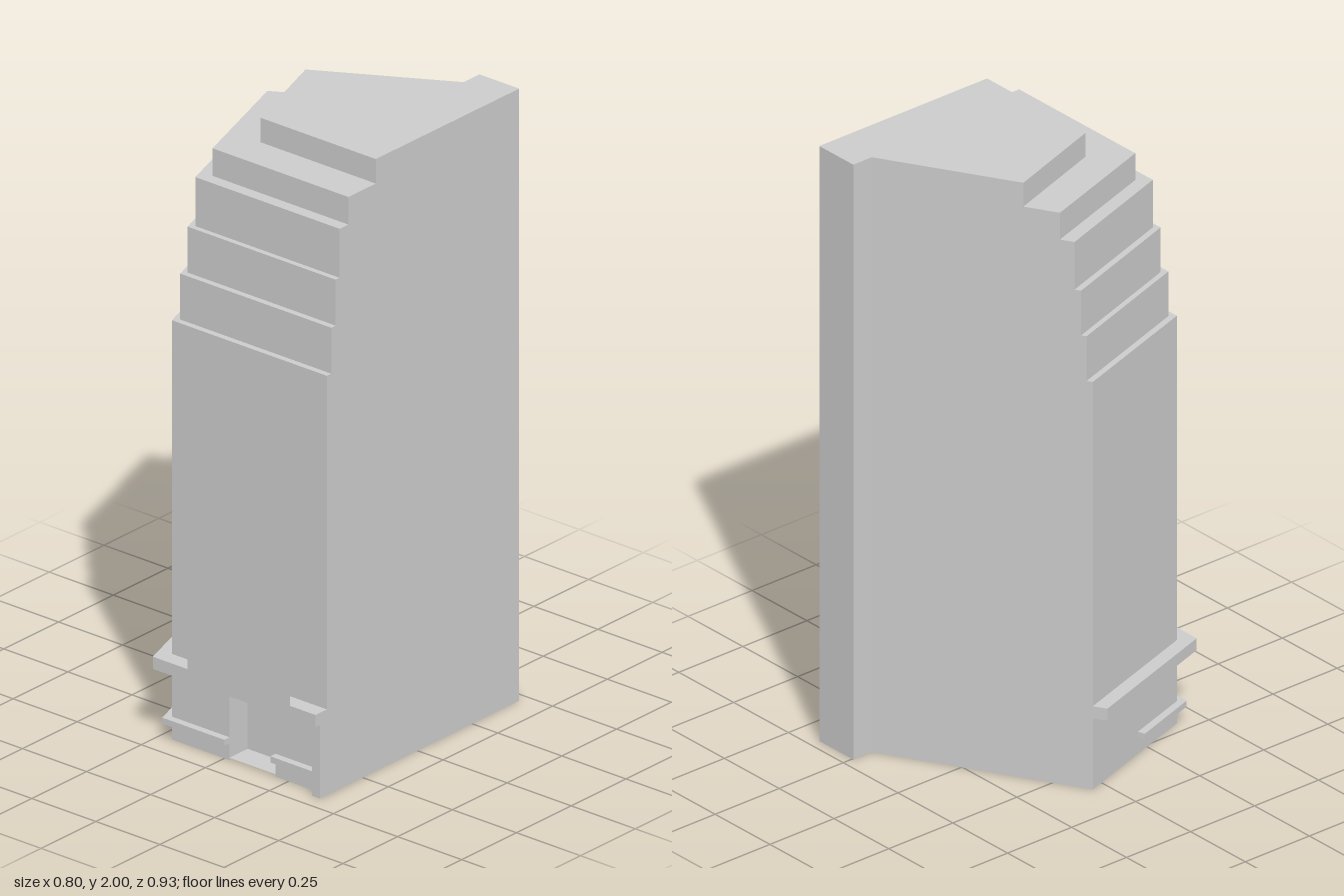
import * as THREE from 'three';

const material = new THREE.MeshStandardMaterial({ color: 0xcccccc, side: THREE.DoubleSide, flatShading: true });

// Height of the slanted party wall line in plan: z for a given x
const backZ = (x) => -0.025 - 0.57 * (x + 0.4);

// Plan of one storey: front line, front-left corner and left tip vary
const plan = (front, cornerX, tipX) => [
  [0.4, front], [0.4, -0.465], [0.245, -0.465], [0.245, backZ(0.245)],
  [tipX, backZ(tipX)], [cornerX, front],
];

// Skin between successive closed plans, each given as [points, y]
function loft(rows) {
  const pos = [];
  for (let r = 0; r + 1 < rows.length; r++) {
    const [lo, y0] = rows[r], [hi, y1] = rows[r + 1];
    for (let i = 0; i < lo.length; i++) {
      const j = (i + 1) % lo.length;
      const a = [lo[i][0], y0, lo[i][1]], b = [lo[j][0], y0, lo[j][1]];
      const c = [hi[j][0], y1, hi[j][1]], d = [hi[i][0], y1, hi[i][1]];
      const same = (p, q) => p.every((v, k) => Math.abs(v - q[k]) < 1e-6);
      if (!same(b, c)) pos.push(...a, ...b, ...c);
      if (!same(a, d)) pos.push(...a, ...c, ...d);
    }
  }
  const g = new THREE.BufferGeometry();
  g.setAttribute('position', new THREE.Float32BufferAttribute(pos, 3));
  g.computeVertexNormals();
  return g;
}

const toShape = (pts) => new THREE.Shape(pts.map(([x, z]) => new THREE.Vector2(x, -z)));

// Flat horizontal face, and solid slab, from a plan
const deck = (pts, y) => new THREE.ShapeGeometry(toShape(pts)).rotateX(-Math.PI / 2).translate(0, y, 0);
const slab = (pts, y0, y1) => new THREE.ExtrudeGeometry(toShape(pts), { depth: y1 - y0, bevelEnabled: false })
  .rotateX(-Math.PI / 2).translate(0, y0, 0);
const rect = (x0, x1, z0, z1) => [[x0, z1], [x1, z1], [x1, z0], [x0, z0]];

export function createModel() {
  const group = new THREE.Group();
  const add = (name, geometry) => {
    const mesh = new THREE.Mesh(geometry, material);
    mesh.name = name;
    group.add(mesh);
  };

  // Storeys: top height, front z, corner x, left tip x
  const steps = [
    [1.37, 0.413, -0.205, -0.36],
    [1.52, 0.393, -0.19, -0.343],
    [1.67, 0.373, -0.178, -0.328],
    [1.83, 0.355, -0.163, -0.31],
    [1.92, 0.315, -0.13, -0.27],
    [2.0, 0.19, -0.05, -0.17],
  ];
  const body = plan(...steps[0].slice(1));
  const canopy = plan(0.465, -0.235, -0.4);

  // Canopy and stepped tower as one hollow skin
  const rows = [[body, 0.24], [canopy, 0.24], [canopy, 0.28], [body, 0.28]];
  let y = 0.28;
  for (const [top, ...dims] of steps) {
    const p = plan(...dims);
    rows.push([p, y], [p, top]);
    y = top;
  }
  add('tower', loft(rows));
  add('roof', deck(rows[rows.length - 1][0], 2));

  // Ground floor walls, open below, with the doorway set back
  const f = 0.413, doorBack = 0.33;
  const ground = [...body, [0.02, f], [0.02, doorBack], [0.2, doorBack], [0.2, f]];
  add('groundFloor', loft([[ground, 0], [ground, 0.24]]));
  add('doorwayCeiling', deck(rect(0.02, 0.2, doorBack, f), 0.24));
  add('doorwayFloor', deck(rect(0.02, 0.2, doorBack, f), 0.008));

  // Pier at the right end of the front
  add('pier', slab(rect(0.37, 0.4, f, 0.445), 0, 0.24));

  // Window ledges either side of the doorway; the left one wraps the corner
  add('leftLedge', slab([[0.02, f], [0.02, 0.437], [-0.222, 0.437], [-0.3, 0.207], [-0.276, 0.199], [-0.205, f]], 0.055, 0.075));
  add('rightLedge', slab(rect(0.2, 0.37, f, 0.437), 0.055, 0.075));

  // Thin upstand along the canopy edge
  add('canopySign', new THREE.PlaneGeometry(0.4, 0.035).translate(0.1, 0.2975, 0.465));
  return group;
}
